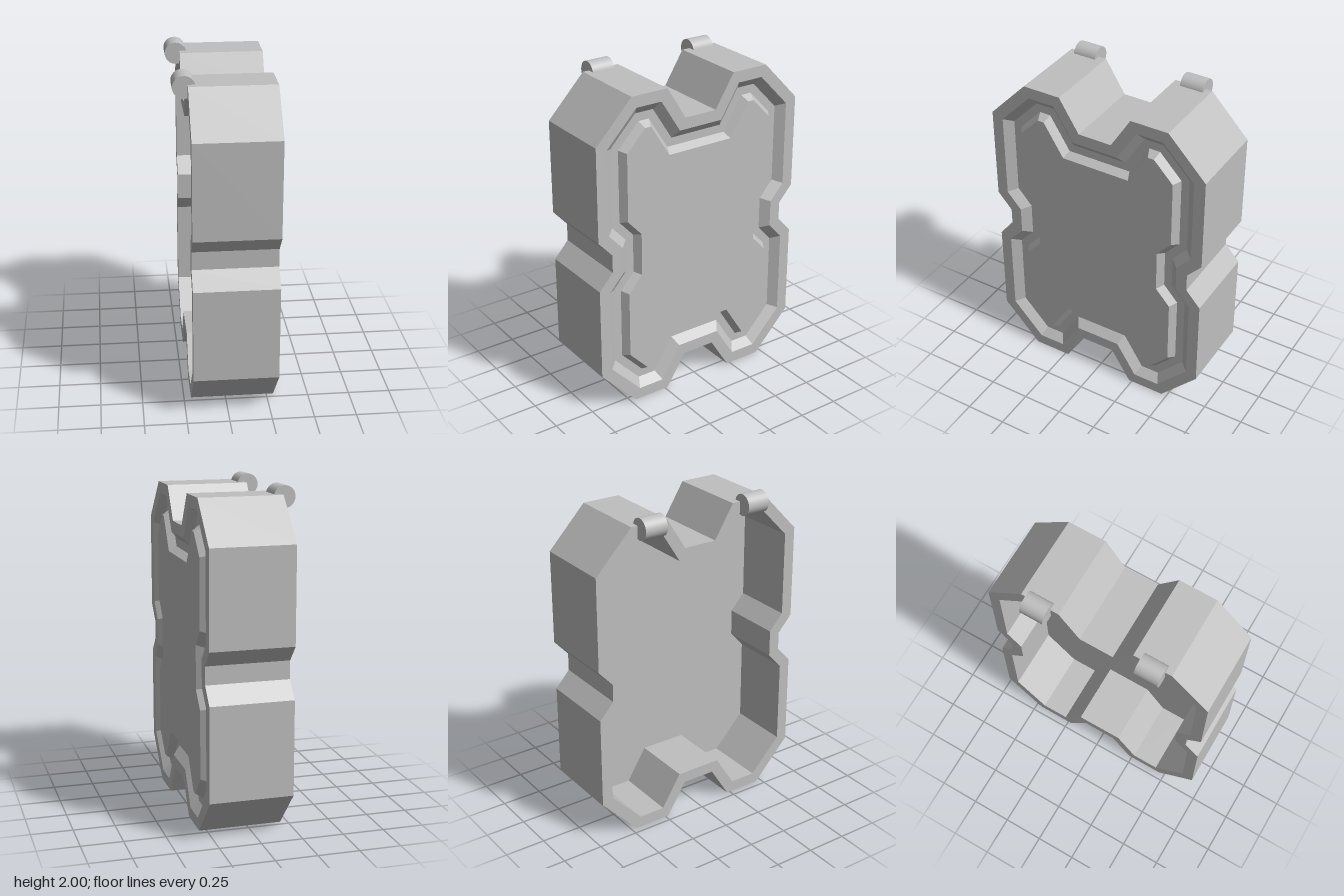
import * as THREE from 'three';

// Half outline as [y, z], running from the top notch to the bottom notch
const HALF = [
  [1.75, 0.105], [1.95, 0.23], [1.95, 0.465], [1.705, 0.70],
  [1.13, 0.70], [1.03, 0.61], [0.92, 0.61], [0.82, 0.70],
  [0.25, 0.70], [0, 0.465], [0, 0.23], [0.20, 0.105],
];
const OUTLINE = [...HALF, ...HALF.map(([y, z]) => [y, -z]).reverse()]
  .map(([y, z]) => new THREE.Vector2(y, z));

// Outline moved inwards by a constant distance with mitred corners
function inset(distance) {
  const n = OUTLINE.length;
  const inward = (a, b) => {
    const d = b.clone().sub(a).normalize();
    return new THREE.Vector2(-d.y, d.x);
  };
  return OUTLINE.map((p, i) => {
    const n1 = inward(OUTLINE[(i + n - 1) % n], p);
    const n2 = inward(p, OUTLINE[(i + 1) % n]);
    const k = distance / (1 + n1.dot(n2));
    return p.clone().add(n1.add(n2).multiplyScalar(k));
  });
}

// Flat faces through rings given as [x, inset]; either end may be capped
function loft(steps, capStart = false, capEnd = false) {
  const pos = [];
  const rings = steps.map(([x, d]) => inset(d).map((p) => [x, p.x, p.y]));
  const tri = (a, b, c) => pos.push(...a, ...b, ...c);
  for (let r = 0; r < rings.length - 1; r++) {
    const lo = rings[r], hi = rings[r + 1];
    for (let i = 0; i < lo.length; i++) {
      const j = (i + 1) % lo.length;
      tri(lo[i], lo[j], hi[j]);
      tri(lo[i], hi[j], hi[i]);
    }
  }
  const cap = (ring, d, flip) => {
    for (const [a, b, c] of THREE.ShapeUtils.triangulateShape(inset(d), [])) {
      if (flip) tri(ring[a], ring[c], ring[b]);
      else tri(ring[a], ring[b], ring[c]);
    }
  };
  if (capStart) cap(rings[0], steps[0][1], true);
  if (capEnd) cap(rings[rings.length - 1], steps[steps.length - 1][1], false);
  const geometry = new THREE.BufferGeometry();
  geometry.setAttribute('position', new THREE.Float32BufferAttribute(pos, 3));
  geometry.computeVertexNormals();
  return geometry;
}

export function createModel() {
  const group = new THREE.Group();
  const grey = new THREE.MeshStandardMaterial({ color: 0xbfbfbf });
  grey.name = 'plain grey';

  const add = (name, geometry) => {
    const mesh = new THREE.Mesh(geometry, grey);
    mesh.name = name;
    group.add(mesh);
    return mesh;
  };

  const back = -0.21, front = 0.29, groove = 0.245, floor = 0.18, wall = 0.07;

  // Hollow behind, open towards -x
  add('cavity', loft([[floor, wall], [back, wall]], true));
  // Back lip, outer wall and front rim
  add('caseWall', loft([[back, wall], [back, 0], [front, 0], [front, wall]]));
  // Sloped channel around the panel
  add('grooveChannel', loft([[front, wall], [groove, 0.12], [groove, 0.17]]));
  // Bevelled panel inside the channel
  add('raisedPanel', loft([[groove, 0.17], [front, 0.20]], false, true));

  // Pair of hinge barrels on the top back edge
  for (const side of [1, -1]) {
    const barrel = add(side > 0 ? 'frontHingeBarrel' : 'rearHingeBarrel',
      new THREE.CylinderGeometry(0.065, 0.065, 0.144, 32));
    barrel.rotation.x = Math.PI / 2;
    barrel.position.set(-0.23, 1.935, side * 0.353);
  }

  // Centre the whole width on x = 0
  const box = new THREE.Box3().setFromObject(group);
  const shift = -(box.min.x + box.max.x) / 2;
  group.children.forEach((part) => { part.position.x += shift; });
  return group;
}
